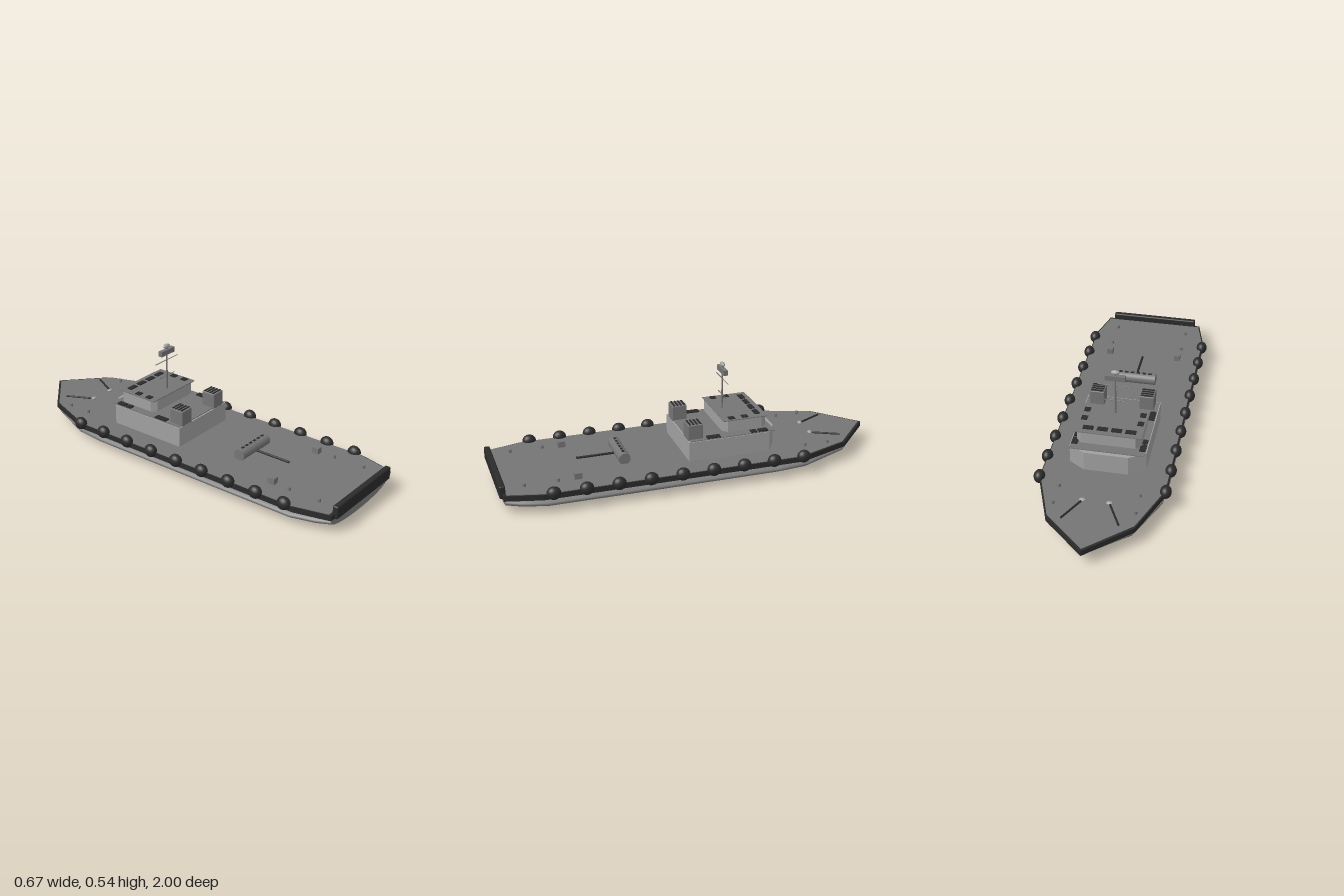
import * as THREE from 'three';
import { RoundedBoxGeometry } from 'three/addons/geometries/RoundedBoxGeometry.js';

const mat = (name, color) => Object.assign(new THREE.MeshStandardMaterial({ color }), { name });

export function createModel() {
  const root = new THREE.Group();
  root.name = 'workBoat';
  const deckGrey = mat('deckGrey', 0x757575);
  const lightGrey = mat('lightGrey', 0xa0a0a0);
  const hullGrey = mat('hullGrey', 0x7c7c7c);
  const black = mat('rubberBlack', 0x2b2b2b);

  const add = (name, geo, material, x = 0, y = 0, z = 0) => {
    const m = new THREE.Mesh(geo, material);
    m.name = name;
    m.position.set(x, y, z);
    root.add(m);
    return m;
  };
  const box = (name, w, h, d, material, x, y, z) =>
    add(name, new THREE.BoxGeometry(w, h, d), material, x, y, z);
  // Horizontal slab from the +x half of its outline, listed as [x, z] bow to stern
  const slab = (name, half, y, h, material, scale = 1) => {
    const pts = [...half, ...half.slice().reverse().map(([x, z]) => [-x, z])]
      .filter(([x], i) => x !== 0 || i < half.length)
      .map(([x, z]) => new THREE.Vector2(x * scale, -z * scale));
    const geo = new THREE.ExtrudeGeometry(new THREE.Shape(pts), { depth: h, bevelEnabled: false });
    geo.rotateX(-Math.PI / 2);
    return add(name, geo, material, 0, y, 0);
  };
  // Round bar between two points
  const bar = (name, a, b, r, material) => {
    const p = new THREE.Vector3(...a), q = new THREE.Vector3(...b);
    const m = add(name, new THREE.CylinderGeometry(r, r, p.distanceTo(q), 10), material);
    m.position.copy(p).add(q).multiplyScalar(0.5);
    m.quaternion.setFromUnitVectors(new THREE.Vector3(0, 1, 0), q.sub(p).normalize());
    return m;
  };

  // Hull: elliptical sections [z, half width, bottom], cut flat under the deck
  const stations = [[0.97, 0.25, 0.012], [0.9, 0.28, 0.007], [0.78, 0.31, 0.002], [0.4, 0.31, 0],
    [-0.4, 0.31, 0], [-0.55, 0.3, 0.005], [-0.8, 0.2, 0.021], [-0.99, 0.008, 0.066]];
  const N = 48, pos = [], idx = [];
  const ring = ([z, b, low]) => {
    for (let i = 0; i < N; i++) {
      const t = (i / N) * Math.PI * 2, h = (0.1 - low) / 2;
      pos.push(b * Math.cos(t), Math.min(0.08, low + h + h * Math.sin(t)), z);
    }
  };
  stations.forEach(ring);
  for (let s = 0; s < stations.length - 1; s++) {
    for (let i = 0; i < N; i++) {
      const j = (i + 1) % N, a = s * N + i, b = s * N + j;
      idx.push(a, a + N, b, b, a + N, b + N);
    }
  }
  // Transom with its own corners for a crisp edge
  const cap = pos.length / 3;
  ring(stations[0]);
  for (let i = 1; i < N - 1; i++) idx.push(cap, cap + i, cap + i + 1);
  const hullGeo = new THREE.BufferGeometry();
  hullGeo.setAttribute('position', new THREE.Float32BufferAttribute(pos, 3));
  hullGeo.setIndex(idx);
  hullGeo.computeVertexNormals();
  add('hull', hullGeo, hullGrey);

  // Rubbing strake and deck
  const outline = [[0, -1], [0.21, -0.805], [0.31, -0.53], [0.31, 0.8], [0.265, 0.98]];
  slab('rubbingStrake', outline, 0.077, 0.027, black);
  slab('deck', outline, 0.104, 0.003, deckGrey, 0.985);
  add('sternRoller', new RoundedBoxGeometry(0.476, 0.066, 0.03, 3, 0.008), black, 0, 0.109, 0.98);

  // Side fenders
  const fender = new THREE.SphereGeometry(1, 20, 14).scale(0.028, 0.033, 0.035);
  for (const s of [-1, 1]) {
    for (let i = 0; i < 9; i++) add('fender', fender, black, s * 0.309, 0.107, -0.53 + i * 0.16);
  }

  // Deckhouse and bridge with chamfered corners
  slab('deckhouse', [[0.11, -0.44], [0.19, -0.39], [0.19, 0.038]], 0.105, 0.105, lightGrey);
  slab('deckhouseRoof', [[0.185, -0.42], [0.185, 0.03]], 0.21, 0.004, deckGrey);
  slab('bridge', [[0.135, -0.385], [0.16, -0.355], [0.16, -0.175], [0.135, -0.15]], 0.227, 0.06, lightGrey);
  slab('bridgeRoof', [[0.165, -0.385], [0.165, -0.15]], 0.287, 0.004, deckGrey);

  // Dark panels lying on the two roofs
  for (const x of [-0.105, -0.035, 0.035, 0.105]) {
    box('bridgePanel', 0.052, 0.005, 0.028, black, x, 0.2925, -0.345);
  }
  for (const s of [-1, 1]) {
    for (const z of [-0.27, -0.2]) box('bridgePanel', 0.03, 0.005, 0.032, black, s * 0.14, 0.2925, z);
    for (const [z, d] of [[-0.36, 0.05], [-0.31, 0.03], [-0.095, 0.07]]) {
      box('deckhousePanel', 0.03, 0.006, d, black, s * 0.168, 0.217, z);
    }

    // Funnels with slatted tops
    add('funnel', new RoundedBoxGeometry(0.075, 0.084, 0.078, 2, 0.004), deckGrey, s * 0.128, 0.248, -0.002);
    for (let i = 0; i < 4; i++) {
      box('funnelSlat', 0.064, 0.004, 0.009, black, s * 0.128, 0.291, -0.03 + i * 0.018);
    }

    // Bollards and deck lockers
    for (const z of [-0.71, -0.585, 0.705, 0.87]) {
      add('bollard', new THREE.CylinderGeometry(0.008, 0.008, 0.018, 12), deckGrey, s * 0.197, 0.115, z);
    }
    box('deckLocker', 0.032, 0.032, 0.036, deckGrey, s * 0.19, 0.122, 0.606);

    // Bow anchors
    bar('anchorShank', [s * 0.065, 0.115, -0.67], [s * 0.135, 0.115, -0.81], 0.005, black);
    add('anchorHead', new THREE.SphereGeometry(1, 16, 10).scale(0.016, 0.008, 0.012), lightGrey,
      s * 0.065, 0.116, -0.67);
  }

  // Mast, yards, radar and dome
  bar('mast', [0, 0.291, -0.2], [0, 0.52, -0.2], 0.0045, deckGrey);
  bar('lowerYard', [-0.057, 0.366, -0.2], [0.057, 0.366, -0.2], 0.0022, deckGrey);
  bar('upperYard', [-0.086, 0.453, -0.2], [0.086, 0.453, -0.2], 0.0022, deckGrey);
  box('radar', 0.1, 0.027, 0.022, deckGrey, 0, 0.499, -0.2);
  add('radarDome', new THREE.SphereGeometry(1, 20, 14).scale(0.022, 0.012, 0.012), lightGrey, 0, 0.53, -0.2);

  // Towing winch with its line
  bar('winchDrum', [-0.111, 0.132, 0.35], [0.111, 0.132, 0.35], 0.03, deckGrey)
    .geometry = new THREE.CylinderGeometry(0.03, 0.03, 0.222, 28);
  for (let i = 0; i < 6; i++) {
    box('winchCleat', 0.018, 0.004, 0.012, black, -0.08 + i * 0.032, 0.162, 0.35);
  }
  bar('towLine', [0, 0.122, 0.37], [0, 0.122, 0.57], 0.006, black);

  return root;
}
